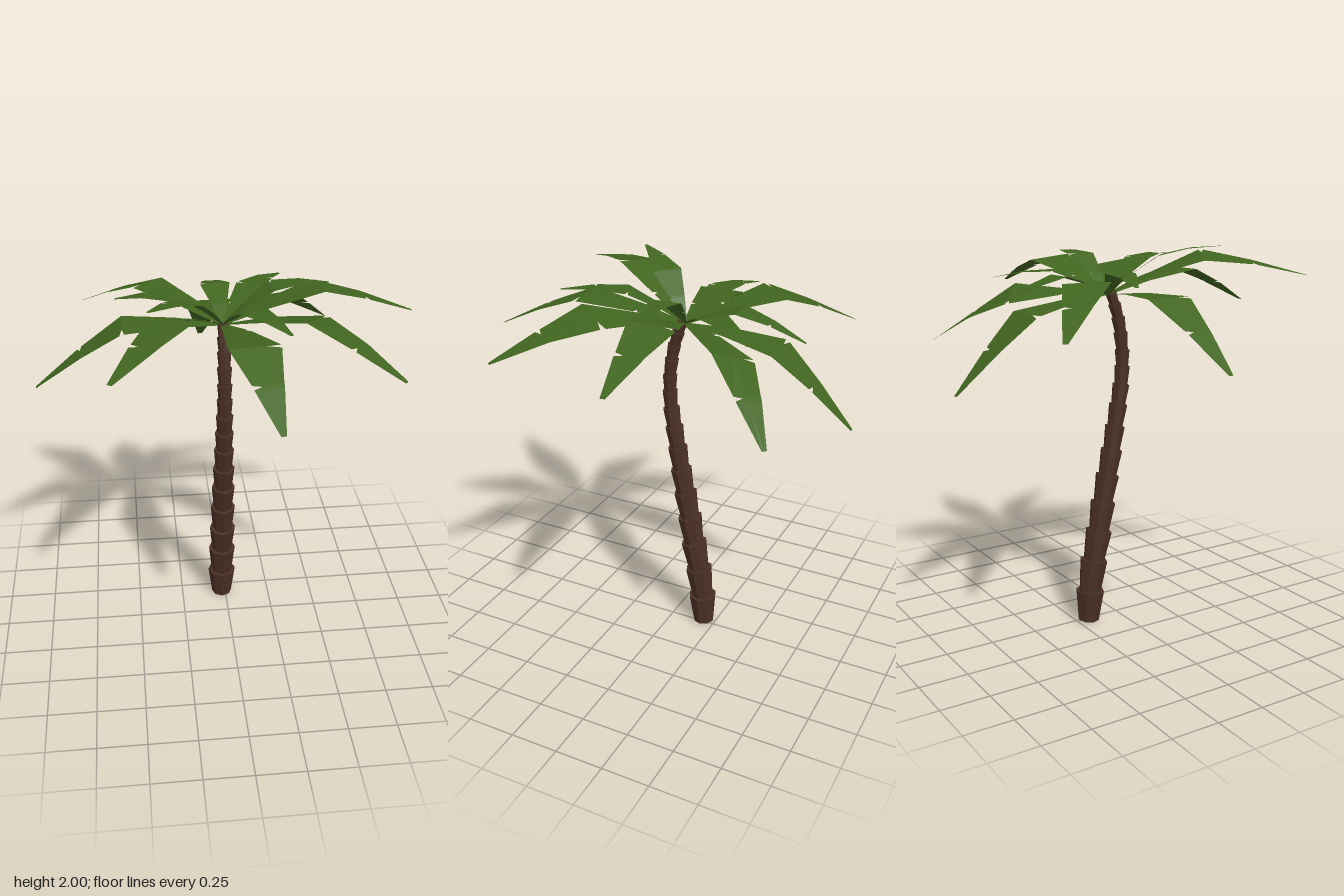
import * as THREE from 'three';

const bark = new THREE.MeshStandardMaterial({ color: 0x4a3025, flatShading: true });
const green = new THREE.MeshStandardMaterial({ color: 0x416520, flatShading: true, side: THREE.DoubleSide });
const V = (x, y, z) => new THREE.Vector3(x, y, z);
const crown = V(-0.02, 1.75, -0.06);

// Trunk path: [y, z, radius at the flared upper rim]
const rings = [
  [0.004, -0.185, 0.06], [0.17, -0.175, 0.077], [0.34, -0.15, 0.074], [0.5, -0.118, 0.071],
  [0.655, -0.092, 0.067], [0.8, -0.064, 0.063], [0.935, -0.038, 0.058], [1.06, -0.017, 0.053],
  [1.175, 0.003, 0.049], [1.28, 0.02, 0.045], [1.375, 0.027, 0.041], [1.46, 0.027, 0.039],
  [1.55, 0.017, 0.038], [1.63, 0.002, 0.036], [1.7, -0.02, 0.034], [1.76, -0.042, 0.03],
];

// Half-blade outline: [t, left width, right width]; t = 1 at the bend, 2 at the tip.
// Sudden dips are the small tears in the edges.
const outline = [
  [0, 0.1, 0.1], [0.43, 0.5, 0.5], [0.45, 0.3, 0.52], [0.47, 0.54, 0.54],
  [0.98, 0.98, 0.98], [1, 0.45, 1], [1.03, 0.95, 0.97],
  [1.46, 0.58, 0.58], [1.48, 0.57, 0.22], [1.51, 0.55, 0.55], [2, 0.1, 0.1],
];

// Blade from the crown through a bend (left and right corners) to the tip
function frond(name, tip, left, right) {
  const bend = left.clone().add(right).multiplyScalar(0.5);
  const half = left.clone().sub(right).multiplyScalar(0.5);
  const side = V(0, 1, 0).cross(V(tip.x - crown.x, 0, tip.z - crown.z)).normalize().multiplyScalar(half.length());
  const pos = [], idx = [];
  outline.forEach(([t, l, r], i) => {
    const c = t <= 1 ? crown.clone().lerp(bend, t) : bend.clone().lerp(tip, t - 1);
    c.y += 0.012 * Math.sin(Math.PI * (t % 1));
    const across = side.clone().lerp(half, 1 - Math.abs(t - 1));
    for (const w of [l, 0, -r]) pos.push(...c.clone().addScaledVector(across, w).toArray());
    if (i === 0) return;
    const a = (i - 1) * 3, b = i * 3;
    idx.push(a, a + 1, b + 1, a, b + 1, b, a + 1, a + 2, b + 2, a + 1, b + 2, b + 1);
  });
  const geo = new THREE.BufferGeometry();
  geo.setAttribute('position', new THREE.Float32BufferAttribute(pos, 3));
  geo.setIndex(idx);
  geo.computeVertexNormals();
  const mesh = new THREE.Mesh(geo, green);
  mesh.name = name;
  return mesh;
}

export function createModel() {
  const group = new THREE.Group();
  group.name = 'palmTree';

  // Trunk: stacked flared segments following the curve
  const trunk = new THREE.Group();
  trunk.name = 'trunk';
  for (let i = 1; i < rings.length; i++) {
    const [y0, z0, r0] = rings[i - 1], [y1, z1, r1] = rings[i];
    const a = V(-0.02, y0, z0), b = V(-0.02, y1, z1);
    const dir = b.clone().sub(a);
    const overlap = i > 1 ? 0.015 : 0;
    const geo = new THREE.CylinderGeometry(r1, i > 1 ? r0 * 0.74 : 0.056, dir.length() + overlap, 8);
    const seg = new THREE.Mesh(geo, bark);
    dir.normalize();
    seg.position.copy(a).add(b).multiplyScalar(0.5).addScaledVector(dir, -overlap / 2);
    seg.quaternion.setFromUnitVectors(V(0, 1, 0), dir);
    seg.name = 'trunkSegment';
    trunk.add(seg);
  }
  group.add(trunk);

  // Large fronds: tip, left corner, right corner
  const large = [
    [[-0.96, 1.48, 0], [-0.52, 1.78, 0.09], [-0.52, 1.78, -0.15]],
    [[0.625, 1.49, -0.75], [0.195, 1.71, -0.52], [0.38, 1.79, -0.38]],
    [[0.96, 1.75, -0.15], [0.45, 1.9, -0.25], [0.48, 1.92, -0.01]],
    [[0.755, 1.7, 0.575], [0.47, 1.85, 0.12], [0.33, 1.9, 0.32]],
    [[0.14, 1.65, 0.925], [0.2, 1.855, 0.45], [-0.05, 1.855, 0.47]],
    [[-0.58, 1.85, 0.77], [-0.175, 1.97, 0.4], [-0.39, 1.93, 0.27]],
    [[-0.735, 1.65, -0.71], [-0.46, 1.87, -0.3], [-0.3, 1.85, -0.48]],
    [[-0.07, 1.33, -0.93], [-0.185, 1.69, -0.54], [0.065, 1.69, -0.55]],
  ];
  for (const pts of large) group.add(frond('largeFrond', ...pts.map((p) => V(...p))));

  // Small upper fronds: tip and height of the bend
  const small = [
    [[-0.4, 2, 0.36], 1.95], [[0.235, 1.92, 0.5], 1.92], [[0.51, 1.94, -0.09], 1.94],
    [[0.33, 1.83, -0.54], 1.87], [[-0.05, 1.74, -0.68], 1.86], [[-0.55, 1.84, -0.23], 1.88],
  ];
  for (const [p, bendY] of small) {
    const tip = V(...p);
    const bend = crown.clone().lerp(tip, 0.46).setY(bendY);
    const side = V(0, 1, 0).cross(V(tip.x - crown.x, 0, tip.z - crown.z)).setLength(0.078);
    group.add(frond('smallFrond', tip, bend.clone().add(side), bend.clone().sub(side)));
  }
  return group;
}
